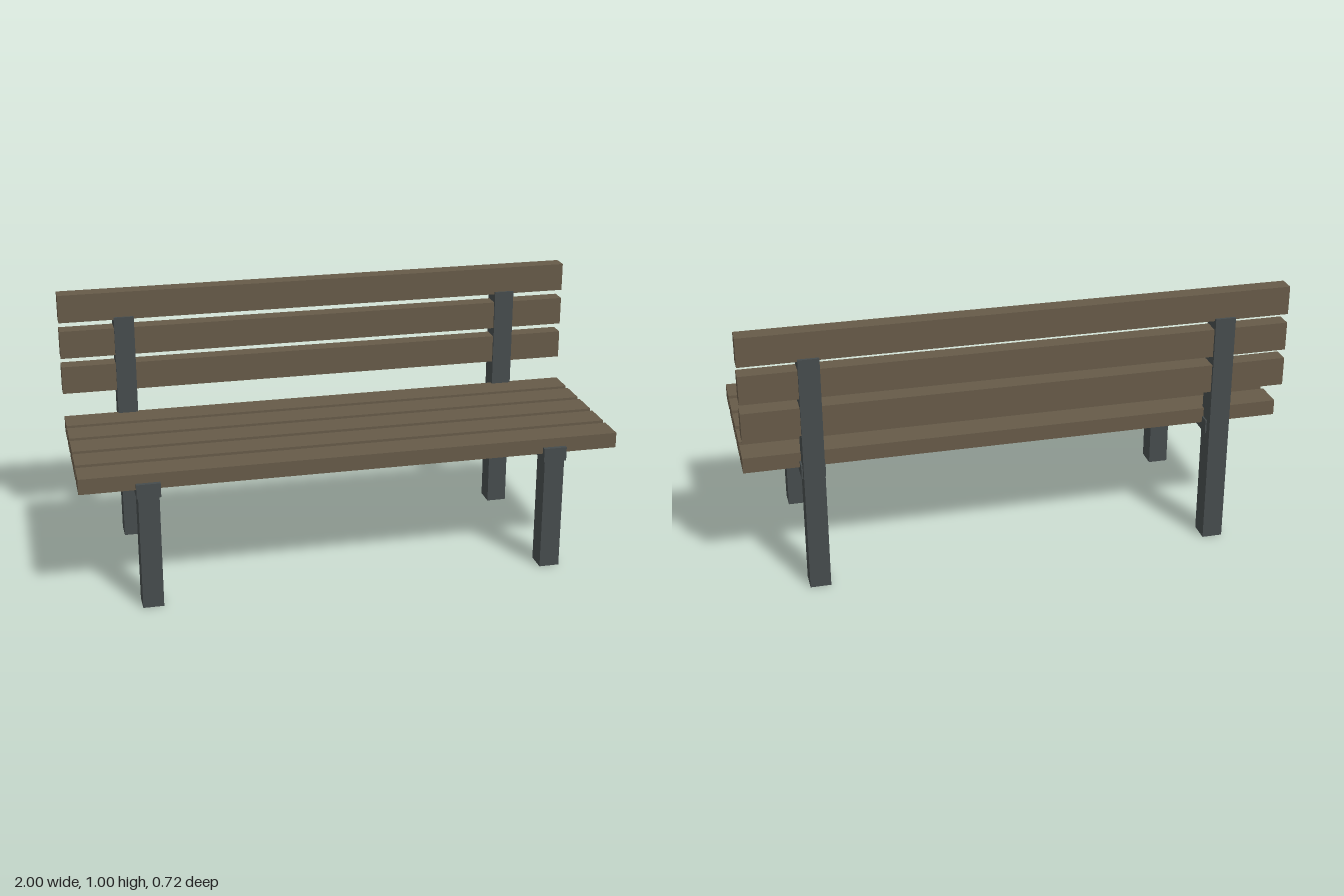
import * as THREE from 'three';

export function createModel() {
  const bench = new THREE.Group();
  bench.name = 'bench';

  const wood = new THREE.MeshStandardMaterial({ color: 0x665a48 });
  wood.name = 'weathered wood';
  const steel = new THREE.MeshStandardMaterial({ color: 0x454b4c });
  steel.name = 'dark steel';

  // Box given by its centre x, width, and its y and z extents
  function addBox(name, material, x, width, y0, y1, z0, z1) {
    const mesh = new THREE.Mesh(new THREE.BoxGeometry(width, y1 - y0, z1 - z0), material);
    mesh.name = name;
    mesh.position.set(x, (y0 + y1) / 2, (z0 + z1) / 2);
    bench.add(mesh);
  }

  // Seat: five planks from back to front
  for (let i = 0; i < 5; i++) {
    const z = -0.24 + i * 0.133;
    addBox('seatSlat', wood, 0, 2, 0.461, 0.519, z - 0.0545, z + 0.0545);
  }

  // Backrest: three upright planks
  for (let i = 0; i < 3; i++) {
    const y = 0.665 + i * 0.141;
    addBox('backSlat', wood, 0, 2, y - 0.0535, y + 0.0535, -0.351, -0.289);
  }

  // Frames: front leg, tall rear post and a slightly wider seat rail
  for (const side of [-1, 1]) {
    const x = side * 0.756;
    addBox('frontLeg', steel, x, 0.076, 0, 0.44, 0.276, 0.356);
    addBox('rearPost', steel, x, 0.076, 0, 0.903, -0.361, -0.281);
    addBox('seatRail', steel, x, 0.087, 0.432, 0.485, -0.332, 0.362);
  }

  return bench;
}
